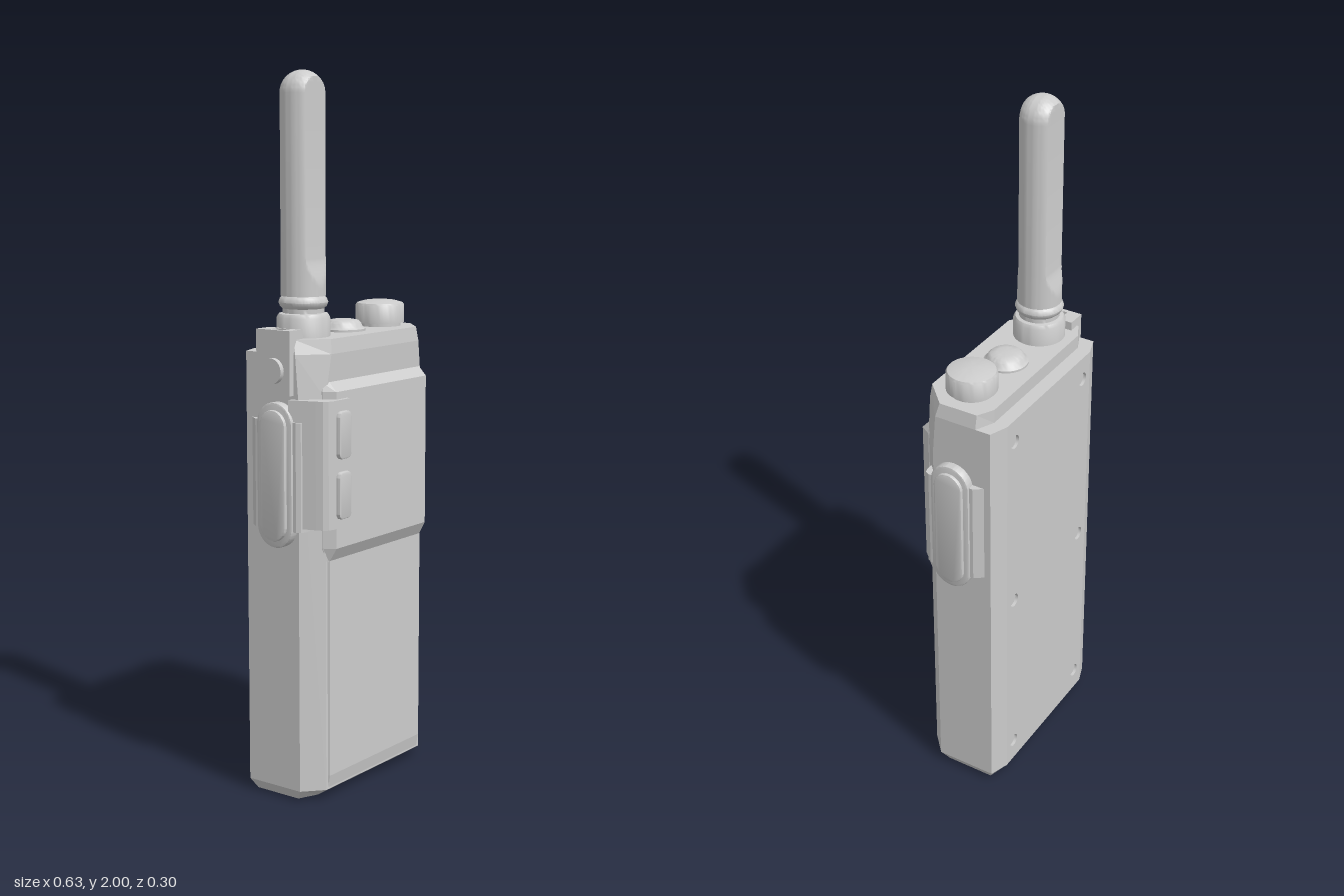
import * as THREE from 'three';
import { toCreasedNormals } from 'three/addons/utils/BufferGeometryUtils.js';

const grey = new THREE.MeshStandardMaterial({ color: 0xcccccc });
const greyDouble = new THREE.MeshStandardMaterial({ color: 0xcccccc, side: THREE.DoubleSide });

// Eight-sided mirrored cross-section: side, front chamfer and back chamfer
const section = (y, hx, fx, zs, zf, bx, zq, zb) => [
  [hx, zs], [fx, zf], [-fx, zf], [-hx, zs], [-hx, zq], [-bx, zb], [bx, zb], [hx, zq],
].map(([x, z]) => new THREE.Vector3(x, y, z));

// Flat-faced loft through sections, from bottom to top; skip(level, side) leaves a quad open
function loft(rings, skip = () => false) {
  const tris = [], n = rings[0].length, top = rings[rings.length - 1];
  for (let k = 0; k < rings.length - 1; k++) {
    for (let i = 0; i < n; i++) {
      if (skip(k, i)) continue;
      const j = (i + 1) % n, lo = rings[k], hi = rings[k + 1];
      tris.push(lo[i], hi[i], hi[j], lo[i], hi[j], lo[j]);
    }
  }
  for (let i = 1; i < n - 1; i++) {
    tris.push(rings[0][0], rings[0][i], rings[0][i + 1], top[0], top[i + 1], top[i]);
  }
  const g = new THREE.BufferGeometry().setFromPoints(tris);
  g.computeVertexNormals();
  return g;
}

// Vertical prism from an (x, z) outline
function prism(points, y0, y1, hole) {
  const flip = (list) => list.map(([x, z]) => new THREE.Vector2(x, -z));
  const shape = new THREE.Shape(flip(points));
  if (hole) shape.holes.push(new THREE.Path(flip(hole)));
  return new THREE.ExtrudeGeometry(shape, { depth: y1 - y0, bevelEnabled: false })
    .rotateX(-Math.PI / 2).translate(0, y0, 0);
}

// Rounded rectangle pad, centred, rising along +z with a bevelled rim
function pad(w, h, r, depth, bevel) {
  const x = w / 2 - bevel, y = h / 2 - bevel, q = r - bevel, s = new THREE.Shape();
  s.absarc(x - q, y - q, q, 0, Math.PI / 2);
  s.absarc(-x + q, y - q, q, Math.PI / 2, Math.PI);
  s.absarc(-x + q, -y + q, q, Math.PI, Math.PI * 1.5);
  s.absarc(x - q, -y + q, q, Math.PI * 1.5, Math.PI * 2);
  const g = new THREE.ExtrudeGeometry(s, {
    depth: depth - bevel, bevelThickness: bevel, bevelSize: bevel, bevelSegments: 2, curveSegments: 10,
  });
  return toCreasedNormals(g, 0.6);
}

const lathe = (points, segments = 48) => new THREE.LatheGeometry(
  points.map(([r, y]) => new THREE.Vector2(r, y)), segments);

export function createModel() {
  const model = new THREE.Group();
  const add = (name, geometry, x = 0, y = 0, z = 0, material = grey) => {
    const m = new THREE.Mesh(geometry, material);
    m.name = name;
    m.position.set(x, y, z);
    model.add(m);
    return m;
  };

  // Main case, with a step at the top of the back; flat back left open for the drilled panel
  add('body', loft([
    section(0, 0.262, 0.205, 0.03, 0.055, 0.21, -0.115, -0.13),
    section(0.03, 0.28, 0.225, 0.05, 0.1, 0.225, -0.13, -0.15),
    section(1.13, 0.28, 0.225, 0.05, 0.1, 0.225, -0.13, -0.15),
    section(1.25, 0.28, 0.205, 0.04, 0.105, 0.225, -0.13, -0.15),
    section(1.25, 0.28, 0.205, 0.04, 0.105, 0.225, -0.085, -0.11),
    section(1.29, 0.272, 0.2, 0.03, 0.1, 0.225, -0.085, -0.11),
  ], (k, i) => i === 5 && (k === 1 || k === 2)));

  // Back panel with screw holes
  const screws = [];
  for (const x of [-0.185, 0.185]) for (const y of [0.1, 0.64, 1.18]) screws.push([x, y]);
  const back = new THREE.Shape([[-0.225, 0.03], [0.225, 0.03], [0.225, 1.25], [-0.225, 1.25]]
    .map((p) => new THREE.Vector2(...p)));
  for (const [x, y] of screws) {
    back.holes.push(new THREE.Path().absarc(x, y, 0.02, 0, Math.PI * 2, true));
  }
  add('backPanel', new THREE.ShapeGeometry(back, 12), 0, 0, -0.15, greyDouble);
  for (const [x, y] of screws) {
    add('screwHole', new THREE.CylinderGeometry(0.02, 0.02, 0.02, 24, 1, true).rotateX(Math.PI / 2),
      x, y, -0.14, greyDouble);
    add('screw', new THREE.CylinderGeometry(0.019, 0.019, 0.01, 24).rotateX(Math.PI / 2), x, y, -0.137);
  }

  // Front panels: shallow lower cover and raised upper housing
  add('lowerCover', loft([
    section(0.035, 0.222, 0.215, 0.09, 0.1, 0.2, 0.08, 0.07),
    section(0.07, 0.222, 0.215, 0.09, 0.106, 0.2, 0.08, 0.07),
    section(0.7, 0.222, 0.215, 0.09, 0.106, 0.2, 0.08, 0.07),
  ]));
  add('upperHousing', loft([
    section(0.68, 0.226, 0.215, 0.096, 0.104, 0.2, 0.05, 0),
    section(0.72, 0.232, 0.212, 0.096, 0.127, 0.2, 0.05, 0),
    section(1.15, 0.232, 0.212, 0.096, 0.127, 0.2, 0.05, 0),
    section(1.175, 0.226, 0.212, 0.086, 0.103, 0.2, 0.05, 0),
  ]));

  // Side mounts with long oval buttons
  for (const s of [-1, 1]) {
    const outline = [[0.24, 0.07], [0.275, 0.071], [0.291, 0.067], [0.298, 0.055],
      [0.298, -0.085], [0.28, -0.11], [0.24, -0.11]].map(([x, z]) => [x * s, z]);
    add('sideMount', prism(outline, 0.77, 1.07));
    const rim = add('sideButtonRim', pad(0.12, 0.4, 0.06, 0.03, 0.005), s * 0.275, 0.92, -0.015);
    const button = add('sideButton', pad(0.088, 0.36, 0.044, 0.035, 0.005), s * 0.28, 0.92, -0.015);
    rim.rotation.y = button.rotation.y = s * Math.PI / 2;
  }

  // Front corner grip with two keys
  add('cornerGrip', prism([[-0.298, 0.03], [-0.275, 0.105], [-0.268, 0.124], [-0.257, 0.135],
    [-0.24, 0.14], [-0.166, 0.14], [-0.166, 0.08], [-0.25, 0.03]], 0.78, 1.13));
  for (const y of [0.87, 1.035]) add('cornerKey', pad(0.055, 0.13, 0.016, 0.017, 0.005), -0.202, y, 0.135);

  // Slotted accessory lug and its round side cap
  add('accessoryLug', prism([[-0.297, 0.035], [-0.297, -0.08], [-0.24, -0.08], [-0.24, 0.035]], 1.14, 1.315,
    [[-0.285, 0.004], [-0.257, 0.004], [-0.257, -0.041], [-0.285, -0.041]]));
  add('lugCap', new THREE.CylinderGeometry(0.035, 0.035, 0.03, 32).rotateZ(Math.PI / 2), -0.296, 1.205, -0.02);

  // Antenna socket and collar rings
  add('antennaSocket', toCreasedNormals(lathe([[0, 1.27], [0.073, 1.27], [0.073, 1.342], [0.067, 1.352],
    [0.057, 1.354], [0.057, 1.366], [0.064, 1.372], [0.068, 1.383], [0.064, 1.394], [0.057, 1.4],
    [0.057, 1.41], [0, 1.41]]), 0.7), -0.18, 0, -0.01);

  // Antenna rod: round foot, flattened front and back above it
  const R = 0.062, rodPoints = [[0, 1.4], [R, 1.4]];
  for (let i = 0; i <= 10; i++) rodPoints.push([R, 1.42 + i * 0.009]);
  for (let i = 0; i <= 14; i++) {
    const a = (i / 14) * Math.PI / 2;
    rodPoints.push([i === 14 ? 0 : R * Math.cos(a), 2 - R + R * Math.sin(a)]);
  }
  const rod = lathe(rodPoints, 64), p = rod.attributes.position;
  for (let i = 0; i < p.count; i++) {
    const limit = THREE.MathUtils.lerp(R, 0.043, THREE.MathUtils.smoothstep(p.getY(i), 1.42, 1.51));
    p.setZ(i, THREE.MathUtils.clamp(p.getZ(i), -limit, limit));
  }
  add('antenna', toCreasedNormals(rod, 0.5), -0.18, 0, -0.01);

  // Top button and rotary knob
  add('topButton', toCreasedNormals(lathe([[0, 1.28], [0.062, 1.28], [0.062, 1.296], [0.054, 1.302],
    [0.05, 1.312], [0.042, 1.319], [0.025, 1.322], [0, 1.323]]), 0.6), 0, 0, -0.01);
  add('knob', toCreasedNormals(lathe([[0, 1.28], [0.06, 1.28], [0.06, 1.3], [0.07, 1.3], [0.07, 1.35],
    [0.066, 1.356], [0.045, 1.362], [0.02, 1.365], [0, 1.366]]), 0.6), 0.175, 0, -0.01);

  return model;
}
